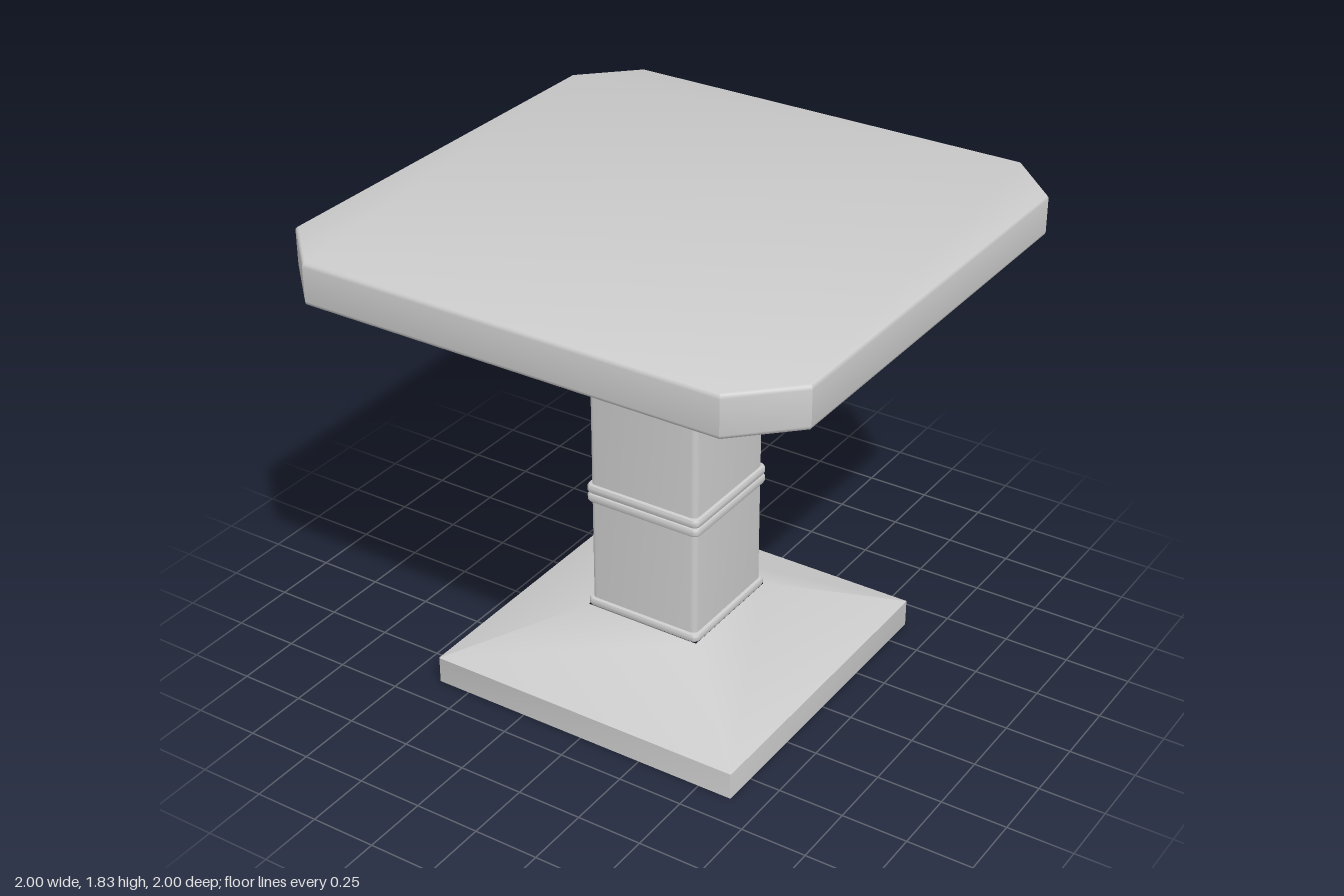
import * as THREE from 'three';
import { toCreasedNormals } from 'three/addons/utils/BufferGeometryUtils.js';

const material = new THREE.MeshStandardMaterial({ color: 0xcccccc, side: THREE.DoubleSide });

// Outline of a square with rounded corners, counter-clockwise seen from above
function squareOutline(half, radius, steps = 4) {
  const points = [];
  for (let c = 0; c < 4; c++) {
    const mid = Math.PI / 4 + c * Math.PI / 2;
    const cx = Math.sign(Math.cos(mid)) * (half - radius);
    const cz = Math.sign(Math.sin(mid)) * (half - radius);
    for (let i = 0; i <= steps; i++) {
      const a = c * Math.PI / 2 + (i / steps) * Math.PI / 2;
      points.push([cx + radius * Math.cos(a), cz + radius * Math.sin(a)]);
    }
  }
  return points;
}

// Skin through square sections, each row being [half width, height]
function squareLoft(name, rows, radius) {
  const positions = [];
  const index = [];
  rows.forEach(([half, y]) => {
    squareOutline(half, radius).forEach(([x, z]) => positions.push(x, y, z));
  });
  const n = positions.length / 3 / rows.length;
  for (let r = 0; r < rows.length - 1; r++) {
    for (let i = 0; i < n; i++) {
      const a = r * n + i;
      const b = r * n + (i + 1) % n;
      index.push(a, a + n, b, b, a + n, b + n);
    }
  }
  const geometry = new THREE.BufferGeometry();
  geometry.setAttribute('position', new THREE.Float32BufferAttribute(positions, 3));
  geometry.setIndex(index);
  const mesh = new THREE.Mesh(toCreasedNormals(geometry, 0.6), material);
  mesh.name = name;
  return mesh;
}

// Softly rounded moulding around the column
function moulding(name, bottom, top, inner = 0.215) {
  const r = 0.01;
  const s = 0.003;
  return squareLoft(name, [
    [inner, bottom], [0.238 - r, bottom], [0.238 - s, bottom + s], [0.238, bottom + r],
    [0.238, top - r], [0.238 - s, top - s], [0.238 - r, top], [0.215, top],
  ], 0.024);
}

// Square slab with cut corners and rounded edges
function tabletop() {
  const bevel = 0.018;
  const h = 1 - bevel;
  const k = 0.8 - bevel * 0.41;
  const shape = new THREE.Shape([
    [h, -k], [h, k], [k, h], [-k, h], [-h, k], [-h, -k], [-k, -h], [k, -h],
  ].map(([x, y]) => new THREE.Vector2(x, y)));
  const geometry = new THREE.ExtrudeGeometry(shape, {
    depth: 0.16 - 2 * bevel, bevelEnabled: true, bevelSize: bevel,
    bevelThickness: bevel, bevelSegments: 4,
  });
  geometry.rotateX(-Math.PI / 2);
  geometry.translate(0, 1.667 + bevel, 0);
  const mesh = new THREE.Mesh(toCreasedNormals(geometry, 0.6), material);
  mesh.name = 'tabletop';
  return mesh;
}

export function createModel() {
  const group = new THREE.Group();
  group.name = 'pedestalTable';
  group.add(
    tabletop(),
    // Flared support under the top
    squareLoft('topSupport', [[0.23, 1.546], [0.525, 1.67]], 0.004),
    // Hollow column
    squareLoft('column', [[0.225, 0.28], [0.225, 1.55]], 0.022),
    // Hollow base, open underneath
    squareLoft('base', [[0.632, 0], [0.632, 0.104], [0.234, 0.265]], 0.004),
    moulding('lowerMoulding', 0.264, 0.298, 0.18),
    moulding('middleMouldingLower', 0.711, 0.747),
    moulding('middleMouldingUpper', 0.747, 0.783),
    moulding('upperMoulding', 1.518, 1.55),
  );
  return group;
}
